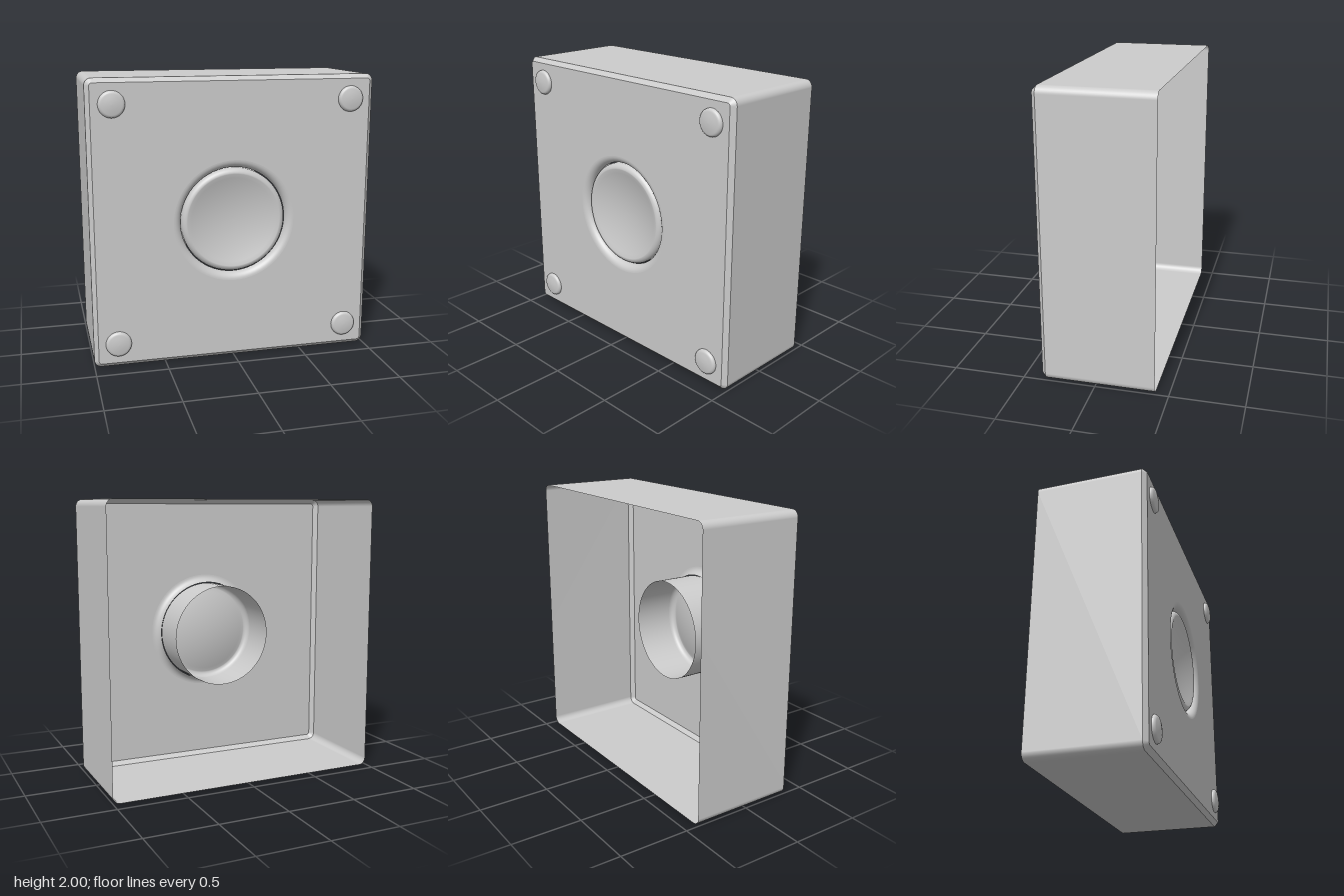
import * as THREE from 'three';

const BACK = -0.407, FRONT = 0.375, CHAMFER = 0.03;
const CY = 1; // height of the centre axis
const HOLE_R = 0.43, LIP_R = 0.055;

const grey = new THREE.MeshStandardMaterial({ color: 0xcccccc, side: THREE.DoubleSide });

function mesh(name, geometry) {
  const m = new THREE.Mesh(geometry, grey);
  m.name = name;
  return m;
}

// Counter-clockwise outline of a rounded square centred on the origin
function roundedSquare(half, radius, steps = 8) {
  const pts = [];
  for (let c = 0; c < 4; c++) {
    const mid = Math.PI / 4 + c * Math.PI / 2;
    const cx = Math.sign(Math.cos(mid)) * (half - radius);
    const cy = Math.sign(Math.sin(mid)) * (half - radius);
    for (let i = 0; i <= steps; i++) {
      const a = (c + i / steps) * Math.PI / 2;
      pts.push(new THREE.Vector2(cx + radius * Math.cos(a), cy + radius * Math.sin(a)));
    }
  }
  return pts;
}

// Closed strip joining two outlines at different depths
function band(a, za, b, zb) {
  const n = a.length, pos = [], idx = [];
  a.forEach(p => pos.push(p.x, p.y, za));
  b.forEach(p => pos.push(p.x, p.y, zb));
  for (let i = 0; i < n; i++) {
    const j = (i + 1) % n;
    idx.push(i, j, n + j, i, n + j, n + i);
  }
  const g = new THREE.BufferGeometry();
  g.setAttribute('position', new THREE.Float32BufferAttribute(pos, 3));
  g.setIndex(idx);
  g.computeVertexNormals();
  return g;
}

// Turned part whose axis points to the front; profile is [radius, z]
function turned(profile, segments = 64) {
  const pts = profile.map(([r, z]) => new THREE.Vector2(r, z));
  return new THREE.LatheGeometry(pts, segments).rotateX(Math.PI / 2);
}

// Quarter arc sampled as [sin, cos] pairs
function quarter(steps) {
  return Array.from({ length: steps + 1 }, (_, i) => {
    const t = i / steps * Math.PI / 2;
    return [Math.sin(t), Math.cos(t)];
  });
}

export function createModel() {
  const group = new THREE.Group();
  group.name = 'buttonBox';
  const housing = new THREE.Group();
  housing.name = 'housing';
  housing.position.y = CY;
  group.add(housing);

  // Thin shell, open at the back
  const outer = roundedSquare(1, 0.05);
  const inner = roundedSquare(1 - CHAMFER, 0.02);
  housing.add(mesh('sideWalls', band(outer, BACK, outer, FRONT - CHAMFER)));
  housing.add(mesh('chamfer', band(outer, FRONT - CHAMFER, inner, FRONT)));

  // Front plate with a round opening
  const plate = new THREE.Shape(inner);
  plate.holes.push(new THREE.Path().absarc(0, 0, HOLE_R, 0, Math.PI * 2, true));
  housing.add(mesh('frontPlate', new THREE.ShapeGeometry(plate, 32).translate(0, 0, FRONT)));

  // Rounded lip rolling into the opening
  const lip = quarter(10).map(([s, c]) => [HOLE_R - LIP_R * s, FRONT - LIP_R + LIP_R * c]);
  housing.add(mesh('openingLip', turned(lip)));

  // Hollow button: tube, rounded rim
  const R = 0.37, RIM = 0.04, rimZ = 0.32;
  housing.add(mesh('buttonTube', turned([[R, 0.03], [R, rimZ]])));
  const rim = quarter(8).map(([s, c]) => [R - RIM + RIM * c, rimZ + RIM * s]);

  // Shallow dish in the button face
  const dish = [];
  for (let i = 1; i <= 12; i++) {
    const r = (R - RIM) * (1 - i / 12);
    dish.push([r, 0.305 + 0.055 * (r / (R - RIM)) ** 2]);
  }
  housing.add(mesh('buttonFace', turned([...rim, ...dish])));

  // Domed screw heads in the corners
  const edge = quarter(6).map(([s, c]) => [0.065 + 0.025 * c, 0.378 + 0.022 * s]);
  const head = [[0.09, FRONT], ...edge, [0.045, 0.404], [0.02, 0.4065], [0, 0.407]];
  for (const x of [-0.83, 0.83]) {
    for (const y of [-0.83, 0.83]) {
      const screw = mesh('screwHead', turned(head, 32));
      screw.position.set(x, y, 0);
      housing.add(screw);
    }
  }
  return group;
}
